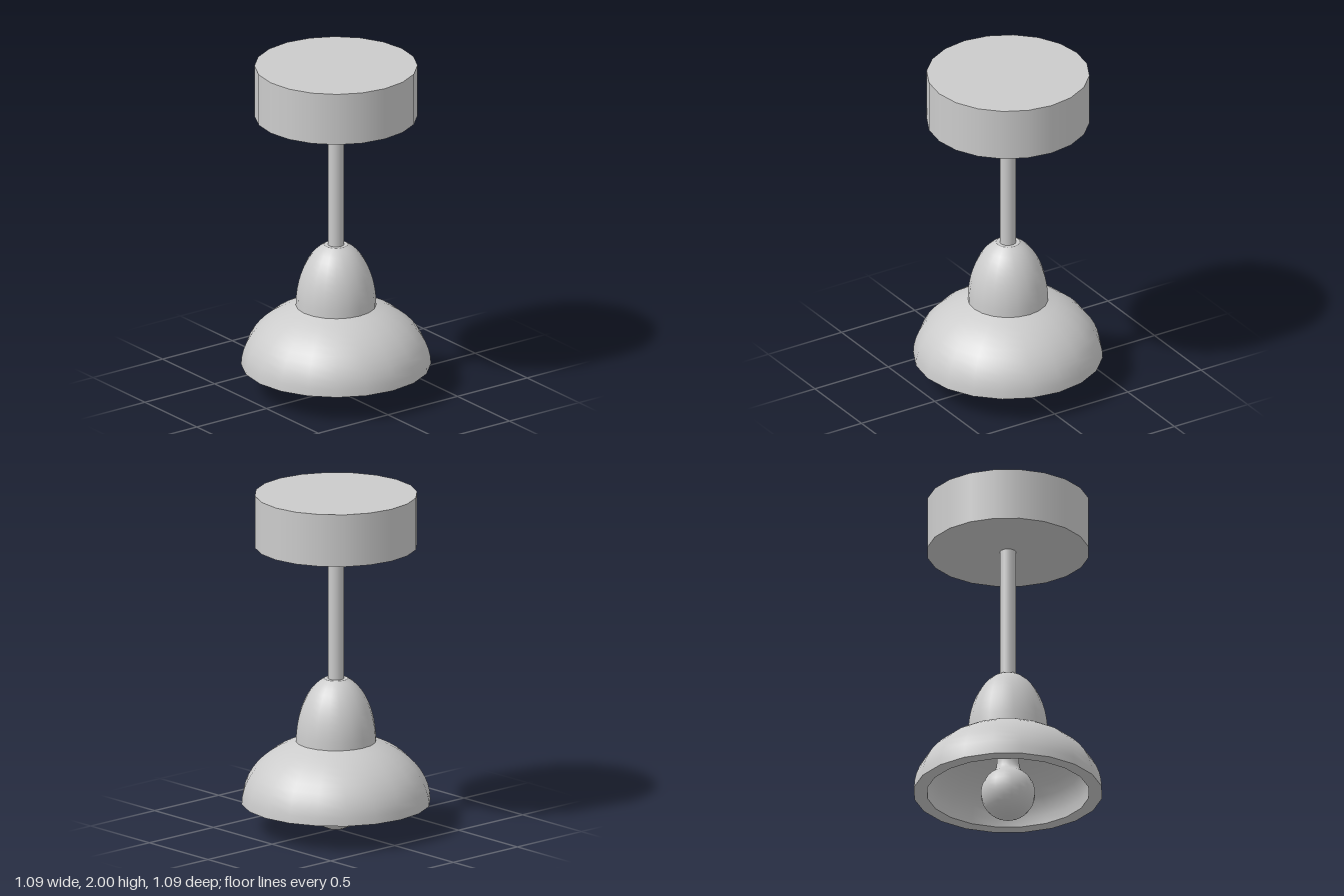
import * as THREE from 'three';

const SIDES = 20;

export function createModel() {
  const lamp = new THREE.Group();
  lamp.name = 'pendantLamp';
  const material = new THREE.MeshStandardMaterial({ color: 0xcccccc });

  const add = (name, geometry, y = 0, parent = lamp) => {
    const mesh = new THREE.Mesh(geometry, material);
    mesh.name = name;
    mesh.position.y = y;
    parent.add(mesh);
  };
  const lathe = (points) => new THREE.LatheGeometry(points, SIDES);

  // Points on an ellipse quarter: radius rx, height ry, standing at y0
  const arc = (rx, ry, y0, from, to, steps) =>
    Array.from({ length: steps + 1 }, (_, i) => {
      const t = from + ((to - from) * i) / steps;
      return new THREE.Vector2(Math.max(0, rx * Math.cos(t)), y0 + ry * Math.sin(t));
    });
  const line = (...pairs) => pairs.map(([x, y]) => new THREE.Vector2(x, y));

  // Ceiling mount and rod
  add('ceilingMount', new THREE.CylinderGeometry(0.47, 0.47, 0.31, SIDES), 1.845);
  add('rod', new THREE.CylinderGeometry(0.047, 0.047, 0.82, SIDES), 1.29);

  // Domed cap above the shade, with a flat top
  const cap = new THREE.Group();
  cap.name = 'cap';
  const capArc = arc(0.232, 0.39, 0.527, 0, 1.27, 10);
  const capTop = capArc[capArc.length - 1];
  add('capDome', lathe(capArc), 0, cap);
  add('capTop', lathe(line([capTop.x, capTop.y], [0, capTop.y])), 0, cap);
  lamp.add(cap);

  // Thick shade: outer shell, flat rim, inner shell and closed top
  const shade = new THREE.Group();
  shade.name = 'shade';
  add('shadeOuter', lathe(arc(0.547, 0.402, 0.162, 0, 1.14, 10)), 0, shade);
  add('shadeTop', lathe(line([0.23, 0.527], [0, 0.527])), 0, shade);
  add('shadeRim', lathe(line([0.47, 0.162], [0.547, 0.162])), 0, shade);
  add('shadeInner', lathe(arc(0.47, 0.33, 0.162, Math.PI / 2, 0, 10)), 0, shade);
  lamp.add(shade);

  // Round bulb running smoothly into its neck
  const bulb = arc(0.157, 0.157, 0.157, -Math.PI / 2, 1.0, 14);
  bulb.push(...line([0.069, 0.315], [0.065, 0.345], [0.065, 0.5]));
  add('bulb', lathe(bulb));

  return lamp;
}
